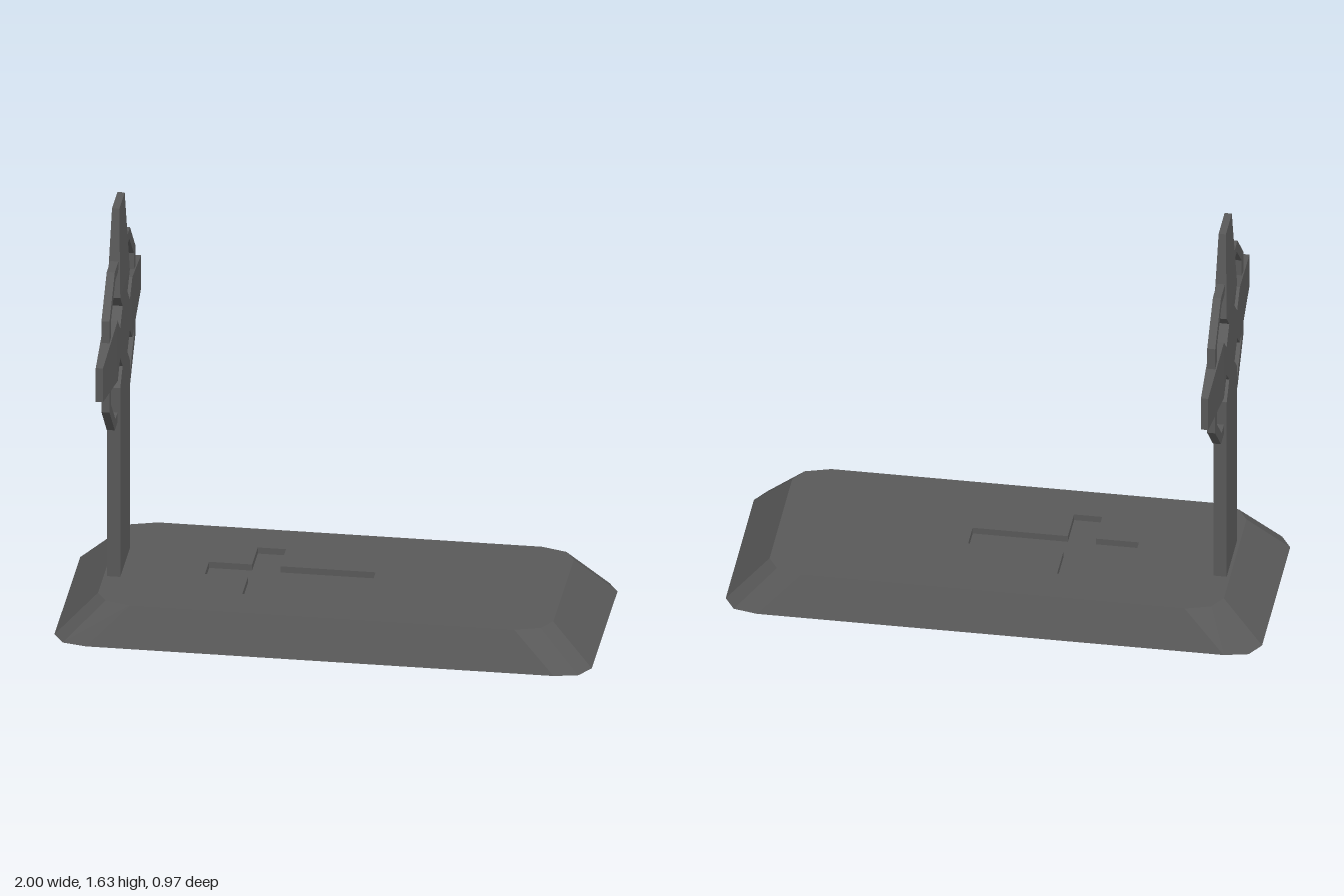
import * as THREE from 'three';

const stone = new THREE.MeshStandardMaterial({ color: 0x595959, side: THREE.DoubleSide });
stone.name = 'dark stone';

const CROSS_X = -0.81;
const HUB_Y = 1.106;

const toShape = (pts) => new THREE.Shape(pts.map(([x, y]) => new THREE.Vector2(x, y)));

// Repeats a first-quadrant corner in all four quadrants, counter-clockwise
function fourfold(corner) {
  const flip = (sx, sy) => corner.map(([x, y]) => [x * sx, y * sy]);
  return [
    ...corner,
    ...flip(-1, 1).reverse(),
    ...flip(-1, -1),
    ...flip(1, -1).reverse(),
  ];
}

function addMesh(group, name, geometry) {
  const mesh = new THREE.Mesh(geometry, stone);
  mesh.name = name;
  group.add(mesh);
  return mesh;
}

// Flat-sided wall joining one plan outline to another
function wall(a, ya, b, yb) {
  const pos = [];
  a.forEach((p, i) => {
    const j = (i + 1) % a.length;
    const A = [p[0], ya, -p[1]], B = [a[j][0], ya, -a[j][1]];
    const C = [b[j][0], yb, -b[j][1]], D = [b[i][0], yb, -b[i][1]];
    pos.push(...A, ...B, ...C, ...A, ...C, ...D);
  });
  const g = new THREE.BufferGeometry();
  g.setAttribute('position', new THREE.Float32BufferAttribute(pos, 3));
  g.computeVertexNormals();
  return g;
}

// Horizontal plate from a plan shape
function plate(shape, y) {
  return new THREE.ShapeGeometry(shape).rotateX(-Math.PI / 2).translate(0, y, 0);
}

// Upright slab, centred on its thickness, drawn in the z-y plane
function slab(shape, depth) {
  return new THREE.ExtrudeGeometry(shape, { depth, bevelEnabled: false })
    .translate(0, 0, -depth / 2);
}

function standUp(geometry, y = 0) {
  return geometry.rotateY(Math.PI / 2).translate(CROSS_X, y, 0);
}

// Arm pointing up from the hub, thinner towards its tip
function arm(base, tip, baseHalf, tipHalf) {
  const g = slab(toShape([[-baseHalf, base], [baseHalf, base], [tipHalf, tip], [-tipHalf, tip]]), 0.05);
  const p = g.attributes.position;
  for (let i = 0; i < p.count; i++) {
    if (p.getY(i) > (base + tip) / 2) p.setZ(i, p.getZ(i) * 0.54);
  }
  g.computeVertexNormals();
  return g;
}

function makeBase() {
  const base = new THREE.Group();
  base.name = 'base';
  const foot = fourfold([[1, 0.33], [0.96, 0.395], [0.87, 0.415]]);
  const rim = fourfold([[0.847, 0.265], [0.81, 0.325], [0.715, 0.355]]);
  addMesh(base, 'slopingSides', wall(foot, 0, rim, 0.15));

  // Sunken cross in the top
  const recess = [
    [0.14, 0.052], [-0.215, 0.052], [-0.215, 0.198], [-0.32, 0.198],
    [-0.32, 0.052], [-0.48, 0.052], [-0.48, -0.052], [-0.32, -0.052],
    [-0.32, -0.198], [-0.215, -0.198], [-0.215, -0.052], [0.14, -0.052],
  ];
  const top = toShape(rim);
  top.holes.push(new THREE.Path(recess.map(([x, y]) => new THREE.Vector2(x, y))));
  addMesh(base, 'topPlate', plate(top, 0.15));
  addMesh(base, 'recessWalls', wall(recess, 0.15, recess, 0.125));
  addMesh(base, 'recessFloor', plate(toShape(recess), 0.125));
  return base;
}

function makeCross() {
  const cross = new THREE.Group();
  cross.name = 'uprightCross';

  // Post and hub with diamond notches between the arms
  const half = [
    [0.122, 0.09], [0.122, 0.922], [0.061, 0.983], [0.124, 1.045], [0.187, 0.983],
    [0.187, 1.229], [0.124, 1.167], [0.061, 1.229], [0.122, 1.29],
  ];
  const outline = [...half, ...half.map(([x, y]) => [-x, y]).reverse()];
  addMesh(cross, 'postAndHub', standUp(slab(toShape(outline), 0.05)));

  // Tapered arms
  addMesh(cross, 'topArm', standUp(arm(0.184, 0.524, 0.122, 0.07), HUB_Y));
  for (const [name, turn] of [['frontArm', 1], ['backArm', -1]]) {
    const g = arm(0.187, 0.485, 0.123, 0.069).rotateZ((turn * Math.PI) / 2);
    addMesh(cross, name, standUp(g, HUB_Y));
  }

  // Eight-sided ring behind the arms
  const ring = toShape(fourfold([[0.329, 0.186], [0.194, 0.323]]));
  const hole = fourfold([[0.292, 0.17], [0.178, 0.284]]);
  ring.holes.push(new THREE.Path(hole.map(([x, y]) => new THREE.Vector2(x, y))));
  addMesh(cross, 'ring', standUp(slab(ring, 0.03), HUB_Y));
  return cross;
}

export function createModel() {
  const model = new THREE.Group();
  model.name = 'graveMarker';
  model.add(makeBase(), makeCross());
  return model;
}
